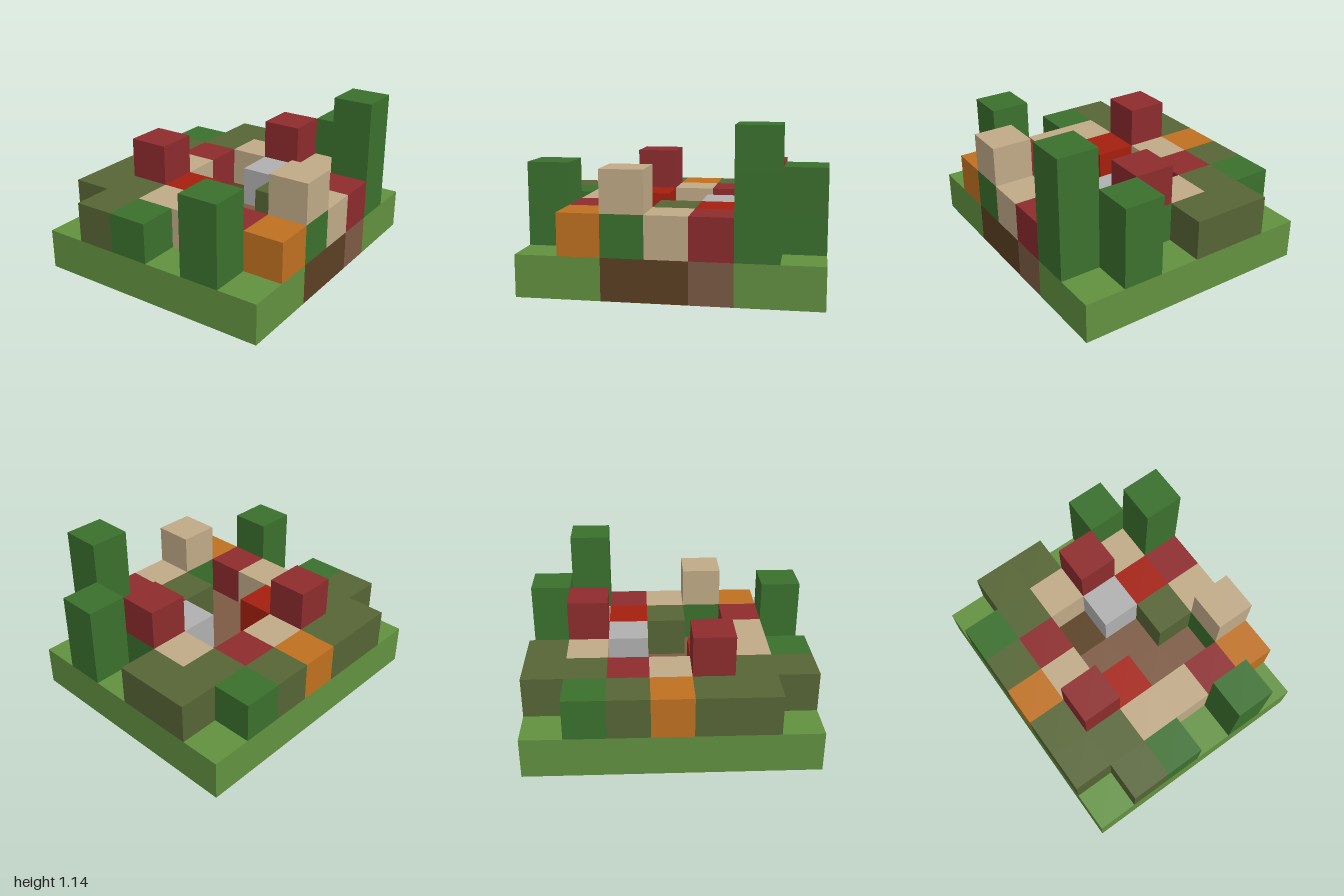
import * as THREE from 'three';
import { mergeGeometries } from 'three/addons/utils/BufferGeometryUtils.js';

const U = 2 / 7; // block size
const COLS = 6, ROWS = 7;

// Block kinds: part name, material name, colour
const KINDS = {
  L: ['grass', 'grass green', 0x629140],
  D: ['leaves', 'leaf green', 0x3a702d],
  O: ['moss', 'olive moss', 0x566535],
  K: ['darkFloor', 'dark brown', 0x5b4022],
  B: ['floor', 'earth brown', 0x7c5a43],
  T: ['sandWall', 'sand', 0xc0aa87],
  M: ['brickWall', 'brick red', 0x8d2b2d],
  R: ['redBlock', 'bright red', 0xa51f0e],
  A: ['orangeBlock', 'orange', 0xbf7120],
  G: ['stoneBlock', 'stone grey', 0xb0b0b0],
};

// Floor plans from the bottom up: rows run back to front, columns along +x
const LAYERS = [
  ['LLLLLL', 'LLKBKL', 'LKKKBB', 'LKBBKK', 'LBKBBK', 'LLBBKL', 'LLLLLL'],
  ['.OO.D.', 'DOTDTD', 'OM.GRM', 'AT..OT', 'OMR..D', 'OOTTMA', '.OD.D.'],
  ['....D.', '...M.D', '......', '......', '.M...T', '......', '....D.'],
  ['......', '.....D', '......', '......', '......', '......', '......'],
];
const LAYER_NAMES = ['ground', 'lowerRuin', 'upperRuin', 'treeTop'];

// Face directions with the turn that points a plane that way
const H = Math.PI / 2;
const FACES = [
  [1, 0, 0, 0, H], [-1, 0, 0, 0, -H],
  [0, 1, 0, -H, 0], [0, -1, 0, H, 0],
  [0, 0, 1, 0, 0], [0, 0, -1, 0, 2 * H],
];

function blockAt(x, y, z) {
  const b = LAYERS[y]?.[z]?.[x];
  return b && b !== '.' ? b : null;
}

// Outer faces of one block, skipping those hidden by a neighbour
function blockFaces(x, y, z) {
  return FACES.filter(([dx, dy, dz]) => !blockAt(x + dx, y + dy, z + dz))
    .map(([dx, dy, dz, rx, ry]) => new THREE.PlaneGeometry(U, U)
      .rotateX(rx).rotateY(ry)
      .translate(
        (x + 0.5 - COLS / 2 + dx / 2) * U,
        (y + 0.5 + dy / 2) * U,
        (z + 0.5 - ROWS / 2 + dz / 2) * U));
}

export function createModel() {
  const model = new THREE.Group();
  model.name = 'overgrownBlockRuin';

  const materials = {};
  for (const [key, [, name, color]] of Object.entries(KINDS)) {
    materials[key] = new THREE.MeshStandardMaterial({ color });
    materials[key].name = name;
  }

  // One group per layer, one mesh per kind of block
  LAYERS.forEach((plan, y) => {
    const layer = new THREE.Group();
    layer.name = LAYER_NAMES[y];
    for (const key of Object.keys(KINDS)) {
      const faces = [];
      for (let z = 0; z < ROWS; z++) {
        for (let x = 0; x < COLS; x++) {
          if (plan[z][x] === key) faces.push(...blockFaces(x, y, z));
        }
      }
      if (!faces.length) continue;
      const mesh = new THREE.Mesh(mergeGeometries(faces), materials[key]);
      mesh.name = KINDS[key][0];
      layer.add(mesh);
    }
    model.add(layer);
  });
  return model;
}
